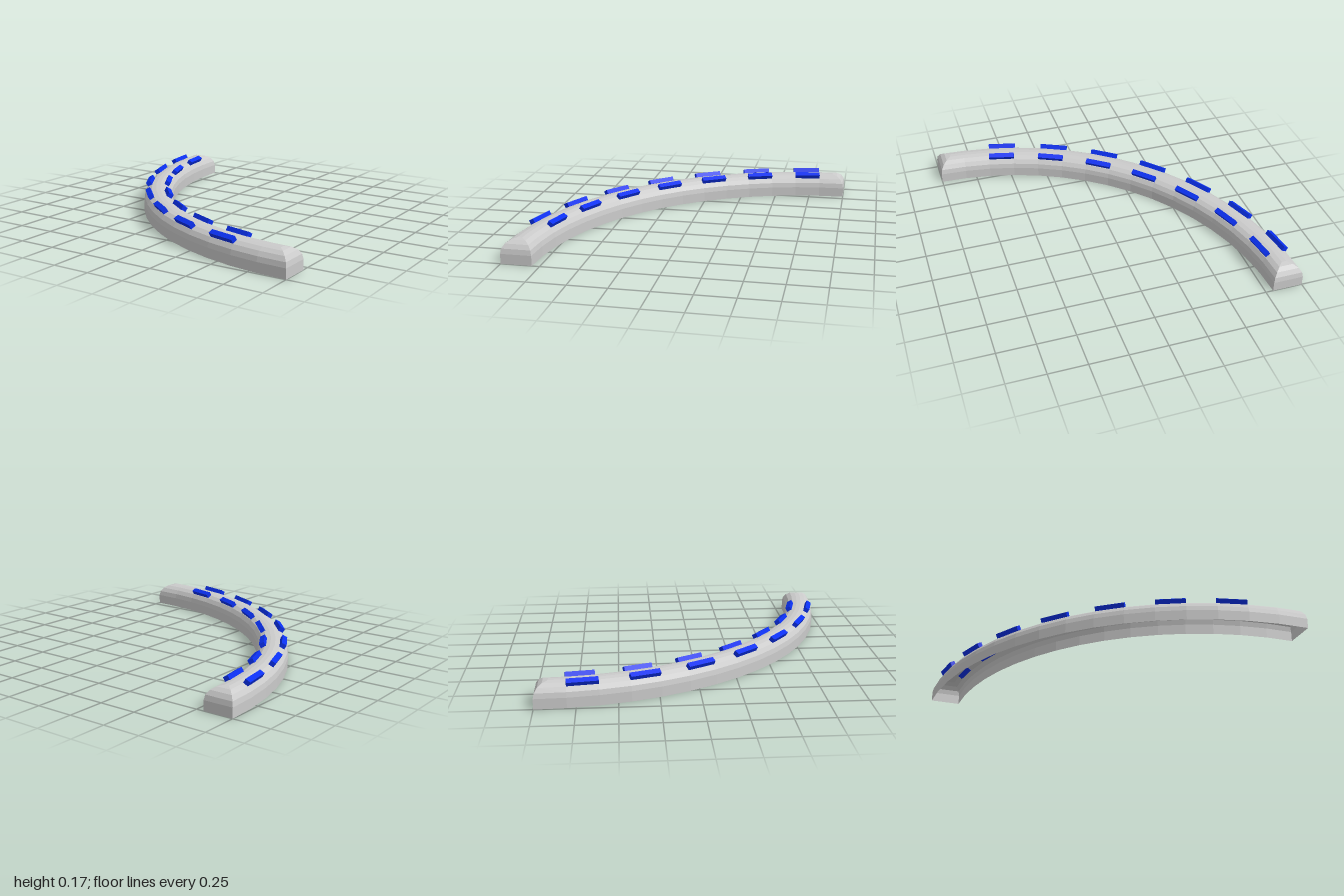
import * as THREE from 'three';

const SEGMENTS = 16;
const STEP = Math.PI / 2 / SEGMENTS;
const MID_RADIUS = 1.9;
const HALF_WIDTH = 0.1;
const HEIGHT = 0.15;
const ROUND = 0.085;

// Point on the quarter ring, whose centre is at the corner (1, -1)
function ringPoint(radius, y, angle) {
  return new THREE.Vector3(1 - radius * Math.cos(angle), y, -1 + radius * Math.sin(angle));
}

// Curved hollow kerb: open underneath, top edge rounded on all four sides
function curbGeometry() {
  const half = [{ inset: 0, y: 0 }];
  for (let k = 0; k <= 4; k++) {
    const t = (k / 4) * Math.PI / 2;
    half.push({ inset: ROUND * (1 - Math.cos(t)), y: HEIGHT - ROUND + ROUND * Math.sin(t) });
  }
  const profile = [
    ...half.map((p) => ({ ...p, side: 1 })),
    ...half.slice().reverse().map((p) => ({ ...p, side: -1 })),
  ];
  const n = profile.length;
  const positions = [];
  const indices = [];
  const quad = (a, b, c, d) => indices.push(a, b, c, b, d, c);

  // Cross-sections along the arc; the end ones step inwards as they rise
  for (let j = 0; j <= SEGMENTS; j++) {
    for (const { inset, y, side } of profile) {
      const radius = MID_RADIUS + side * (HALF_WIDTH - inset);
      const end = Math.asin(inset / radius);
      const angle = THREE.MathUtils.clamp(j * STEP, end, Math.PI / 2 - end);
      positions.push(...ringPoint(radius, y, angle).toArray());
    }
  }
  // Walls, rounded edges and top
  for (let j = 0; j < SEGMENTS; j++) {
    for (let i = 0; i < n - 1; i++) {
      quad(j * n + i, (j + 1) * n + i, j * n + i + 1, (j + 1) * n + i + 1);
    }
  }
  // End faces, joined from outer to inner side
  const last = SEGMENTS * n;
  for (let i = 0; i < n / 2 - 1; i++) {
    const m = n - 1 - i;
    quad(i, i + 1, m, m - 1);
    quad(last + i, last + m, last + i + 1, last + m - 1);
  }

  const indexed = new THREE.BufferGeometry();
  indexed.setAttribute('position', new THREE.Float32BufferAttribute(positions, 3));
  indexed.setIndex(indices);
  const geometry = indexed.toNonIndexed();
  geometry.computeVertexNormals();
  return geometry;
}

export function createModel() {
  const model = new THREE.Group();
  model.name = 'curvedCurb';

  const grey = new THREE.MeshStandardMaterial({
    color: 0xcccccc, flatShading: true, side: THREE.DoubleSide,
  });
  const blue = new THREE.MeshStandardMaterial({ color: 0x0a30f0 });

  const curb = new THREE.Mesh(curbGeometry(), grey);
  curb.name = 'curb';
  model.add(curb);

  // Two rows of blue marker bars on the rounded shoulders, on every second segment
  for (const side of [1, -1]) {
    const row = new THREE.Group();
    row.name = side > 0 ? 'outerMarkers' : 'innerMarkers';
    const radius = MID_RADIUS + side * 0.066;
    const length = 2 * radius * Math.sin(STEP / 2);
    const geometry = new THREE.BoxGeometry(0.035, 0.03, length);
    for (let k = 0; k < 7; k++) {
      const angle = (1.5 + 2 * k) * STEP;
      const marker = new THREE.Mesh(geometry, blue);
      marker.name = 'marker';
      marker.position.copy(ringPoint(radius, 0.149, angle));
      marker.rotation.set(0, angle, side * Math.PI / 6);
      row.add(marker);
    }
    model.add(row);
  }
  return model;
}
